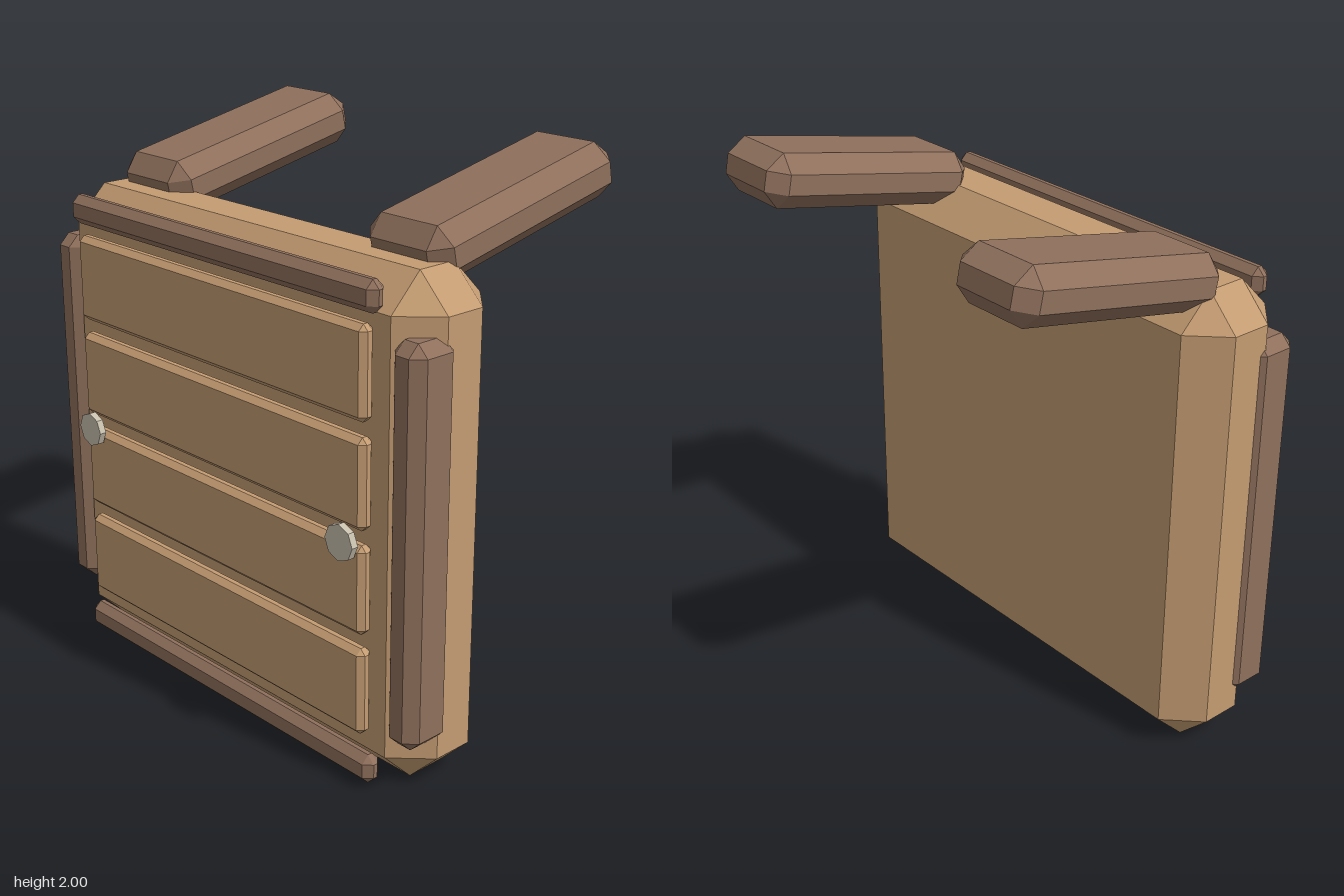
import * as THREE from 'three';
import { ConvexGeometry } from 'three/addons/geometries/ConvexGeometry.js';

const material = (color) => new THREE.MeshStandardMaterial({ color, flatShading: true });

// Box with every edge bevelled by c: three points at each of the eight corners
function chamferBox(w, h, d, c) {
  const points = [];
  const [x, y, z] = [w / 2, h / 2, d / 2];
  for (const sx of [-1, 1]) for (const sy of [-1, 1]) for (const sz of [-1, 1]) {
    points.push(
      new THREE.Vector3(sx * x, sy * (y - c), sz * (z - c)),
      new THREE.Vector3(sx * (x - c), sy * y, sz * (z - c)),
      new THREE.Vector3(sx * (x - c), sy * (y - c), sz * z)
    );
  }
  return new ConvexGeometry(points);
}

export function createModel() {
  const model = new THREE.Group();
  const tan = material(0xc49c72);
  const brown = material(0x8f705c);
  const metal = material(0xc8c0ae);

  const add = (name, geometry, mat, x, y, z) => {
    const mesh = new THREE.Mesh(geometry, mat);
    mesh.name = name;
    mesh.position.set(x, y, z);
    model.add(mesh);
    return mesh;
  };

  // Main padded block
  add('body', chamferBox(1.83, 1.74, 0.388, 0.12), tan, 0, 0.87, 0.292);

  // Four raised panels on the front
  const panel = chamferBox(1.47, 0.312, 0.058, 0.02);
  for (let i = 0; i < 4; i++) add(`frontPanel${i + 1}`, panel, tan, 0, 0.345 + i * 0.3617, 0.511);

  // Trim bars along the bottom and top
  const trim = chamferBox(1.546, 0.105, 0.07, 0.027);
  add('bottomTrim', trim, brown, 0, 0.068, 0.505);
  add('topTrim', trim, brown, 0, 1.676, 0.505);

  // Mirrored parts: side rails, shoulder straps and studs
  const rail = chamferBox(0.136, 1.37, 0.188, 0.04);
  const strap = chamferBox(0.36, 0.192, 0.868, 0.06);
  const stud = new THREE.CylinderGeometry(0.063, 0.063, 0.025, 8).rotateX(Math.PI / 2);
  for (const [side, s] of [['left', 1], ['right', -1]]) {
    add(`${side}Rail`, rail, brown, s * 0.863, 0.87, 0.413);
    add(`${side}Strap`, strap, brown, s * 0.631, 1.828, -0.136).rotation.x = 0.209;
    add(`${side}Stud`, stud, metal, s * 0.664, 0.872, 0.56);
  }
  return model;
}
